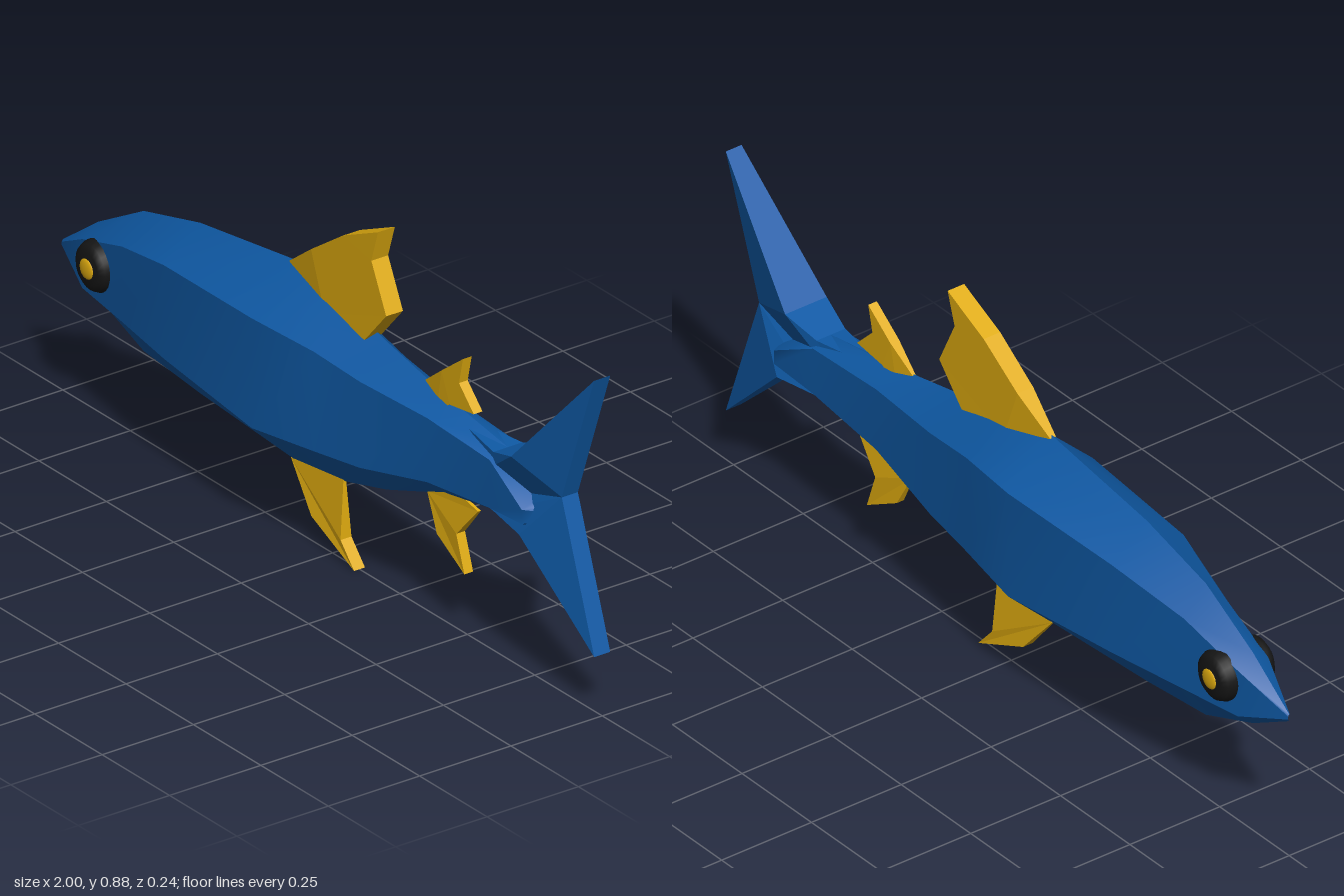
import * as THREE from 'three';

const blue = new THREE.MeshStandardMaterial({ color: 0x0f5aa6 });
const gold = new THREE.MeshStandardMaterial({ color: 0xe0ac10 });
const black = new THREE.MeshStandardMaterial({ color: 0x151515 });

function geometryFrom(positions, index) {
  const g = new THREE.BufferGeometry();
  g.setAttribute('position', new THREE.Float32BufferAttribute(positions, 3));
  if (index) g.setIndex(index);
  g.computeVertexNormals();
  return g;
}

function addMesh(parent, name, geometry, material) {
  const mesh = new THREE.Mesh(geometry, material);
  mesh.name = name;
  parent.add(mesh);
  return mesh;
}

// Six-sided loft: smooth along its length, creased between the strips
function bodyGeometry(stations) {
  const rings = stations.map(([x, top, upper, lower, bottom, w]) => [
    [x, top, 0], [x, upper, w], [x, lower, w],
    [x, bottom, 0], [x, lower, -w], [x, upper, -w],
  ]);
  const positions = [], index = [];
  for (let j = 0; j < 6; j++) {
    const start = positions.length / 3;
    rings.forEach((r, i) => {
      positions.push(...r[j], ...r[(j + 1) % 6]);
      if (i === rings.length - 1) return;
      const a = start + i * 2;
      index.push(a, a + 1, a + 2, a + 1, a + 3, a + 2);
    });
  }
  // End caps
  for (const [ring, flip] of [[rings[0], true], [rings[rings.length - 1], false]]) {
    const s = positions.length / 3;
    ring.forEach((p) => positions.push(...p));
    for (let j = 1; j < 5; j++) index.push(s, s + (flip ? j : j + 1), s + (flip ? j + 1 : j));
  }
  return geometryFrom(positions, index);
}

// Flat-sided plate from an outline of [x, y, half thickness]
function plateGeometry(outline) {
  let pts = outline;
  const flat = (list) => list.map(([x, y]) => new THREE.Vector2(x, y));
  if (THREE.ShapeUtils.isClockWise(flat(pts))) pts = pts.slice().reverse();
  const front = (i) => pts[i];
  const back = (i) => [pts[i][0], pts[i][1], -pts[i][2]];
  const out = [];
  for (const [a, b, c] of THREE.ShapeUtils.triangulateShape(flat(pts), [])) {
    out.push(...front(a), ...front(b), ...front(c), ...back(a), ...back(c), ...back(b));
  }
  for (let i = 0; i < pts.length; i++) {
    const j = (i + 1) % pts.length;
    out.push(...front(i), ...back(i), ...back(j), ...front(i), ...back(j), ...front(j));
  }
  return geometryFrom(out);
}

export function createModel() {
  const fish = new THREE.Group();
  fish.name = 'fish';

  // Body stations: x, top ridge, upper edge, lower edge, bottom ridge, half width
  addMesh(fish, 'body', bodyGeometry([
    [-1, 0.375, 0.37, 0.362, 0.357, 0.003],
    [-0.87, 0.47, 0.44, 0.32, 0.285, 0.043],
    [-0.7, 0.565, 0.495, 0.31, 0.22, 0.06],
    [-0.49, 0.62, 0.545, 0.315, 0.2, 0.1],
    [-0.14, 0.67, 0.56, 0.29, 0.178, 0.118],
    [0.05, 0.645, 0.545, 0.3, 0.2, 0.088],
    [0.2, 0.605, 0.527, 0.315, 0.24, 0.073],
    [0.42, 0.56, 0.52, 0.362, 0.32, 0.052],
    [0.65, 0.525, 0.508, 0.39, 0.365, 0.05],
    [0.78, 0.46, 0.44, 0.405, 0.378, 0.058],
    [0.81, 0.45, 0.43, 0.41, 0.4, 0.01],
  ]), blue);

  // Forked tail, thickest at the root
  addMesh(fish, 'tail', plateGeometry([
    [0.48, 0.53, 0.01], [0.65, 0.525, 0.04], [0.74, 0.555, 0.058], [1, 0.835, 0.022],
    [0.88, 0.5, 0.022], [1, 0.155, 0.022], [0.77, 0.375, 0.058], [0.65, 0.38, 0.04],
    [0.48, 0.37, 0.01],
  ]), blue);

  // Fins
  addMesh(fish, 'dorsalFin', plateGeometry([
    [-0.15, 0.665, 0.008], [-0.05, 0.738, 0.022], [0.07, 0.82, 0.023], [0.2, 0.88, 0.023],
    [0.175, 0.8, 0.023], [0.23, 0.685, 0.023], [0.15, 0.595, 0.023], [0, 0.6, 0.022],
  ]), gold);
  addMesh(fish, 'rearDorsalFin', plateGeometry([
    [0.35, 0.572, 0.004], [0.42, 0.625, 0.012], [0.5, 0.685, 0.012], [0.485, 0.62, 0.012],
    [0.54, 0.565, 0.012], [0.45, 0.553, 0.012], [0.4, 0.52, 0.01],
  ]), gold);
  addMesh(fish, 'bellyFin', plateGeometry([
    [-0.15, 0.18, 0.003], [-0.06, 0.075, 0.014], [0.1, 0.004, 0.015],
    [0.05, 0.06, 0.015], [0.045, 0.21, 0.003], [0, 0.24, 0.003],
  ]), gold);
  addMesh(fish, 'rearBellyFin', plateGeometry([
    [0.355, 0.3, 0.003], [0.4, 0.215, 0.01], [0.505, 0.157, 0.012],
    [0.475, 0.245, 0.012], [0.545, 0.325, 0.004], [0.43, 0.35, 0.003],
  ]), gold);

  // Eyes: bevelled dark discs with gold centres, on both sides
  const rim = new THREE.LatheGeometry([
    [0, 0], [0.062, 0], [0.062, 0.05], [0.055, 0.065], [0.04, 0.075], [0, 0.077],
  ].map(([r, y]) => new THREE.Vector2(r, y)), 24);
  const pupil = new THREE.SphereGeometry(0.025, 16, 8, 0, Math.PI * 2, 0, Math.PI / 2);
  for (const side of [1, -1]) {
    const eye = new THREE.Group();
    eye.name = side > 0 ? 'leftEye' : 'rightEye';
    eye.position.set(-0.81, 0.4, 0);
    eye.rotation.x = side * Math.PI / 2;
    addMesh(eye, 'eyeRim', rim, black);
    const centre = addMesh(eye, 'pupil', pupil, gold);
    centre.position.y = 0.075;
    centre.scale.y = 0.25;
    fish.add(eye);
  }
  return fish;
}
